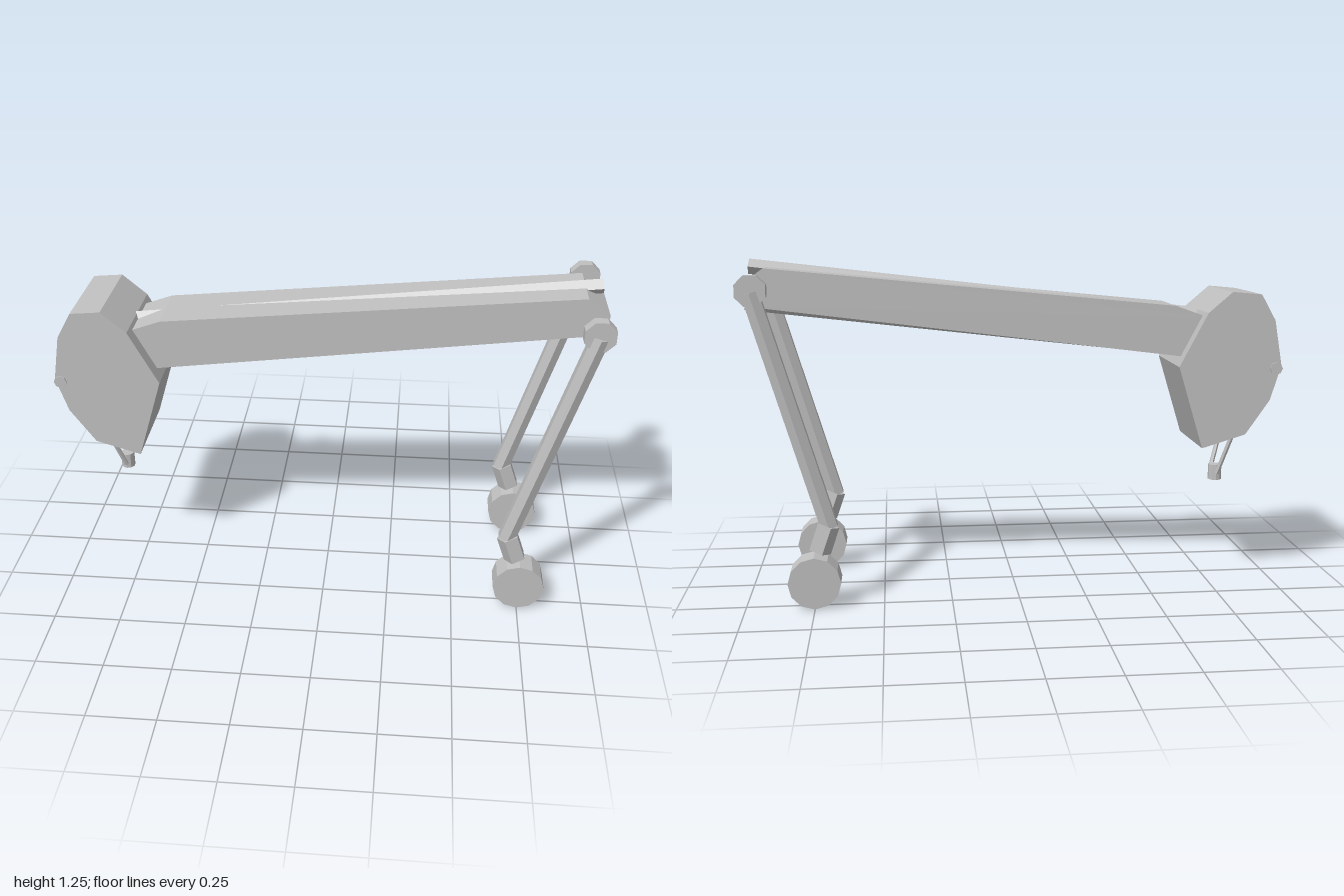
import * as THREE from 'three';

export function createModel() {
  const model = new THREE.Group();
  const grey = new THREE.MeshStandardMaterial({ color: 0xc0c0c0, flatShading: true });
  grey.name = 'plain grey';

  const add = (name, geometry, parent = model) => {
    const mesh = new THREE.Mesh(geometry, grey);
    mesh.name = name;
    parent.add(mesh);
    return mesh;
  };

  // side profile extruded symmetrically across z
  const slab = (points, width) => {
    const shape = new THREE.Shape(points.map(([x, y]) => new THREE.Vector2(x, y)));
    return new THREE.ExtrudeGeometry(shape, { depth: width, bevelEnabled: false })
      .translate(0, 0, -width / 2);
  };

  // prism running between two points, spun about its own axis
  const rod = (name, from, to, radius, sides, spin = 0, parent = model) => {
    const a = new THREE.Vector3(...from), b = new THREE.Vector3(...to);
    const dir = b.clone().sub(a);
    const geometry = new THREE.CylinderGeometry(radius, radius, dir.length(), sides).rotateY(spin);
    const mesh = add(name, geometry, parent);
    mesh.position.copy(a).add(b).multiplyScalar(0.5);
    mesh.quaternion.setFromUnitVectors(new THREE.Vector3(0, 1, 0), dir.normalize());
    return mesh;
  };

  // head block with a pivot pin across its outer edge
  add('head', slab([
    [-0.70, 0.54], [-0.605, 0.85], [-0.71, 1.05], [-0.80, 1.127], [-0.91, 1.117],
    [-0.965, 1.02], [-0.995, 0.85], [-0.955, 0.72], [-0.865, 0.59],
  ], 0.34));
  rod('pivotPin', [-0.975, 0.84, -0.175], [-0.975, 0.84, 0.175], 0.024, 8);

  // inclined main beam
  add('beam', slab([
    [-0.72, 1.03], [-0.65, 0.88], [0.985, 1.085], [0.99, 1.16], [0.91, 1.22], [-0.60, 1.073],
  ], 0.23));

  // diamond-section ridge and keel sunk into the beam
  rod('ridge', [-0.71, 1.029, 0], [0.972, 1.222, 0], 0.028, 4);
  rod('keel', [-0.66, 0.898, 0], [0.99, 1.089, 0], 0.028, 4);

  // legs: hub, hexagonal strut, five-sided ankle and wheel
  for (const side of [1, -1]) {
    const leg = new THREE.Group();
    leg.name = side > 0 ? 'frontLeg' : 'backLeg';
    leg.position.z = side * 0.25;
    model.add(leg);
    rod('hub', [0.94, 1.15, -0.021], [0.94, 1.15, 0.021], 0.058, 8, Math.PI / 8, leg);
    rod('strut', [0.942, 1.143, 0], [0.692, 0.295, 0], 0.035, 6, 0, leg);
    rod('ankle', [0.732, 0.207, 0], [0.698, 0.305, 0], 0.043, 5, -Math.PI / 2, leg);
    rod('wheel', [0.75, 0.098, -0.048], [0.75, 0.098, 0.048], 0.096, 12, 0, leg);
  }

  // small stand under the head
  for (const side of [1, -1]) {
    rod('standRod', [-0.86, 0.63, side * 0.092], [-0.795, 0.412, side * 0.046], 0.009, 6);
  }
  rod('standFoot', [-0.80, 0.38, 0], [-0.80, 0.44, 0], 0.026, 10);

  return model;
}
